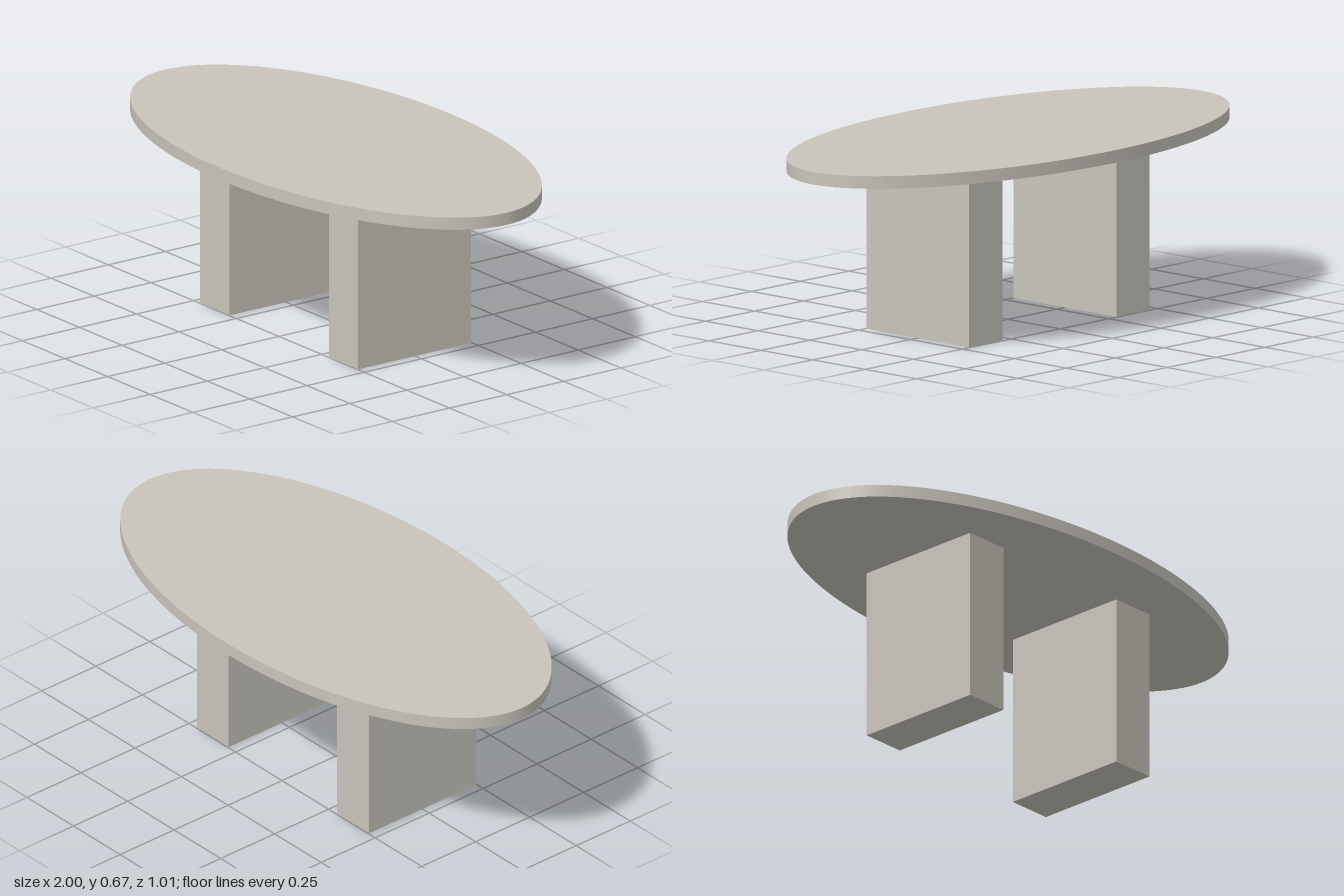
import * as THREE from 'three';

export function createModel() {
  const model = new THREE.Group();
  model.name = 'ovalTable';

  const stone = new THREE.MeshStandardMaterial({ color: 0xc8c4bb });
  stone.name = 'warm grey stone';

  const legHeight = 0.627;
  const topThickness = 0.045;

  // Elliptical table top
  const topGeometry = new THREE.CylinderGeometry(1, 1, topThickness, 128);
  topGeometry.scale(1, 1, 0.505);
  const tableTop = new THREE.Mesh(topGeometry, stone);
  tableTop.name = 'tableTop';
  tableTop.position.y = legHeight + topThickness / 2;
  model.add(tableTop);

  // Two slab legs
  const legGeometry = new THREE.BoxGeometry(0.171, legHeight, 0.495);
  for (const [name, x] of [['leftLeg', 0.376], ['rightLeg', -0.378]]) {
    const leg = new THREE.Mesh(legGeometry, stone);
    leg.name = name;
    leg.position.set(x, legHeight / 2, 0.001);
    model.add(leg);
  }

  return model;
}
